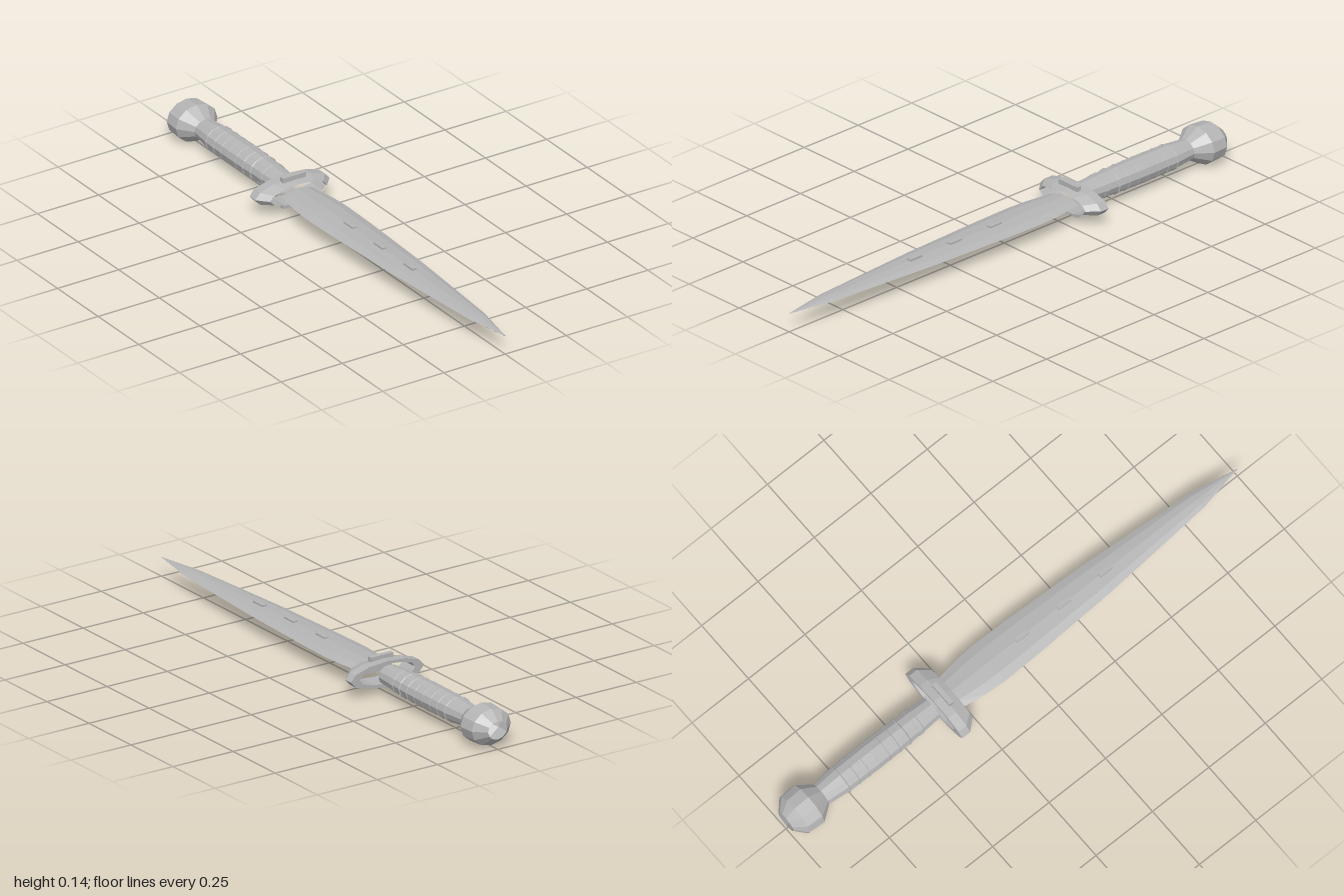
import * as THREE from 'three';

const AXIS = 0.072; // height of the dagger's centre line

export function createModel() {
  const model = new THREE.Group();
  const steel = new THREE.MeshStandardMaterial({ color: 0xb4b4b4, flatShading: true, side: THREE.DoubleSide });
  steel.name = 'grey steel';

  function add(name, geometry, x = 0, y = 0, z = 0) {
    const mesh = new THREE.Mesh(geometry, steel);
    mesh.name = name;
    mesh.position.set(x, AXIS + y, z);
    model.add(mesh);
    return mesh;
  }

  // Twelve-sided turned part along z; profile is [radius, z], flattened in y
  function turned(name, profile, flatten) {
    const g = new THREE.LatheGeometry(profile.map(([r, z]) => new THREE.Vector2(r, z)), 12);
    g.rotateX(Math.PI / 2);
    g.scale(1, flatten, 1);
    return add(name, g);
  }

  // Blade: lens-shaped sections [z, half width, half thickness]
  const lens = [[1, 0], [0.6, 0.72], [0, 1], [-0.6, 0.72], [-1, 0], [-0.6, -0.72], [0, -1], [0.6, -0.72]];
  const sections = [
    [-0.28, 0.065, 0.015], [-0.18, 0.08, 0.015], [-0.1, 0.085, 0.015], [0.05, 0.082, 0.014],
    [0.38, 0.068, 0.013], [0.6, 0.052, 0.011], [0.82, 0.035, 0.009], [1, 0.001, 0.001],
  ];
  const n = lens.length;
  const positions = [];
  const index = [];
  for (const [z, w, t] of sections) for (const [x, y] of lens) positions.push(x * w, y * t, z);
  for (let i = 0; i < sections.length - 1; i++) {
    for (let j = 0; j < n; j++) {
      const a = i * n + j, b = i * n + (j + 1) % n;
      index.push(a, b, b + n, a, b + n, a + n);
    }
  }
  for (let j = 1; j < n - 1; j++) {
    const last = (sections.length - 1) * n;
    index.push(0, j + 1, j, last, last + j, last + j + 1);
  }
  const blade = new THREE.BufferGeometry();
  blade.setAttribute('position', new THREE.Float32BufferAttribute(positions, 3));
  blade.setIndex(index);
  blade.computeVertexNormals();
  add('blade', blade);

  // Raised bars along the middle of both blade faces
  for (const z of [0.045, 0.23, 0.415]) {
    add('bladeBar', new THREE.BoxGeometry(0.017, 0.038, 0.055), 0, 0, z);
  }

  // Open oval guard, narrowing towards the blade
  turned('guard', [[0.152, -0.345], [0.152, -0.31], [0.116, -0.27], [0.113, -0.272], [0.116, -0.345], [0.152, -0.345]], 0.3);
  for (const side of [1, -1]) {
    add('guardPlate', new THREE.BoxGeometry(0.094, 0.018, 0.018), 0, side * 0.049, -0.305);
  }

  // Hollow grip
  turned('grip', [[0.045, -0.355], [0.049, -0.42], [0.054, -0.52], [0.056, -0.62],
    [0.054, -0.76], [0.044, -0.85]], 0.82);

  // Collar near the guard and fine ridges along the grip
  turned('gripCollar', [[0.048, -0.45], [0.053, -0.447], [0.052, -0.428], [0.047, -0.425]], 0.82);
  for (let i = 0; i < 7; i++) {
    const z = -0.49 - i * 0.045;
    turned('gripRidge', [[0.051, z - 0.004], [0.0568, z], [0.051, z + 0.004]], 0.82);
  }

  // Faceted pommel with an open end
  turned('pommel', [[0.044, -0.845], [0.085, -0.9], [0.081, -0.962], [0.04, -1]], 0.82);

  return model;
}
